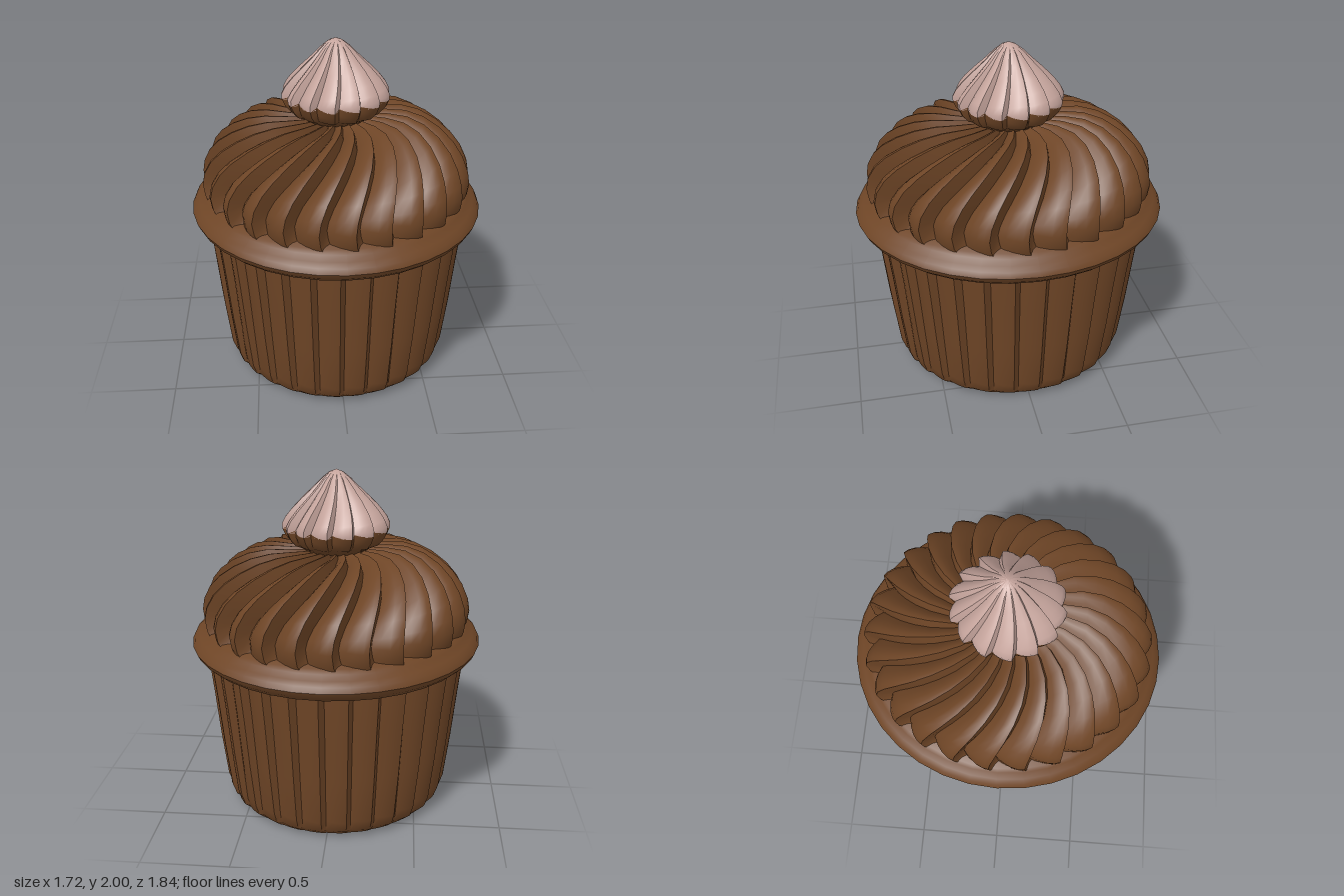
import * as THREE from 'three';
import { toCreasedNormals } from 'three/addons/utils/BufferGeometryUtils.js';

// One pleat across its width: [fraction, height]; a slow rise, then a steep drop
const PLEAT = [[0, 0], [0.22, 0.42], [0.45, 0.76], [0.66, 0.95], [0.82, 1]];
const ROUND = [[0, 1]];

// Rings of a profile, bottom to top. Each profile point is [radius, y, pleat depth, twist].
function pleatedLathe(profile, teeth, shape, crease) {
  const pos = [], index = [], cols = teeth * shape.length;
  profile.forEach(([r, y, depth = 0, twist = 0], i) => {
    const a = profile[Math.max(i - 1, 0)], b = profile[Math.min(i + 1, profile.length - 1)];
    const n = new THREE.Vector2(b[1] - a[1], a[0] - b[0]).normalize();
    for (let t = 0; t < teeth; t++) {
      for (const [f, h] of shape) {
        const angle = ((t + f) / teeth) * Math.PI * 2 + twist;
        const sink = depth * (1 - h);
        const radius = Math.max(r - n.x * sink, 0);
        pos.push(Math.sin(angle) * radius, y - n.y * sink, Math.cos(angle) * radius);
      }
    }
  });
  for (let i = 0; i < profile.length - 1; i++) {
    for (let j = 0; j < cols; j++) {
      const a = i * cols + j, b = i * cols + (j + 1) % cols, c = a + cols, d = b + cols;
      if (profile[i][0] > 0) index.push(a, b, d);
      if (profile[i + 1][0] > 0) index.push(a, d, c);
    }
  }
  const geo = new THREE.BufferGeometry();
  geo.setAttribute('position', new THREE.Float32BufferAttribute(pos, 3));
  geo.setIndex(index);
  return toCreasedNormals(geo, crease);
}

export function createModel() {
  const chocolate = new THREE.MeshStandardMaterial({ color: 0x6e4526 });
  chocolate.name = 'chocolate';
  const pink = new THREE.MeshStandardMaterial({ color: 0xc4a39b });
  pink.name = 'pinkCream';

  const model = new THREE.Group();
  model.name = 'cupcake';
  const add = (name, geo, material, squash) => {
    const mesh = new THREE.Mesh(geo, material);
    mesh.name = name;
    mesh.scale.x = squash; // the cake is slightly oval
    model.add(mesh);
  };

  // Pleated paper cup with a rounded foot
  add('cup', pleatedLathe([
    [0, 0], [0.6, 0], [0.66, 0.015, 0.003], [0.7, 0.05, 0.012], [0.725, 0.12, 0.025],
    [0.76, 0.4, 0.034], [0.79, 0.7, 0.038], [0.818, 0.95, 0.04], [0.82, 0.99, 0.04],
  ], 30, PLEAT, 0.6), chocolate, 0.95);

  // Rounded rim above the cup
  add('rim', pleatedLathe([
    [0.75, 0.925], [0.82, 0.93], [0.87, 0.95], [0.905, 0.98], [0.92, 1.01], [0.905, 1.04],
    [0.875, 1.06], [0.84, 1.085], [0.82, 1.105], [0.7, 1.125],
  ], 36, ROUND, 0.8), chocolate, 0.935);

  // Domed frosting, pleats swirling down from the centre
  const dome = [
    [0.82, 1.08, 0.05], [0.838, 1.12, 0.075], [0.848, 1.19, 0.085], [0.835, 1.26, 0.09],
    [0.795, 1.34, 0.09], [0.735, 1.41, 0.09], [0.65, 1.475, 0.085], [0.55, 1.525, 0.075],
    [0.44, 1.552, 0.06], [0.32, 1.555, 0.045], [0.2, 1.55, 0.025], [0, 1.545, 0],
  ];
  dome.forEach((p) => p.push(-0.62 * Math.pow(p[0] / 0.848, 1.3)));
  add('frosting', pleatedLathe(dome, 26, PLEAT, 0.7), chocolate, 0.935);

  // Chocolate base of the topping, its pleats fading towards the foot
  add('toppingBase', pleatedLathe([
    [0, 1.53], [0.19, 1.54], [0.22, 1.562, 0.004], [0.265, 1.58, 0.012],
    [0.3, 1.62, 0.028], [0.318, 1.66, 0.04],
  ], 14, PLEAT, 0.7), chocolate, 0.985);

  // Piped cream peak
  add('creamPeak', pleatedLathe([
    [0.318, 1.66, 0.04], [0.32, 1.69, 0.042], [0.3, 1.73, 0.042, 0.02], [0.26, 1.78, 0.036, 0.05],
    [0.2, 1.84, 0.026, 0.09], [0.135, 1.9, 0.014, 0.13], [0.085, 1.95, 0.006, 0.16],
    [0.04, 1.985, 0.002, 0.18], [0, 2],
  ], 14, PLEAT, 0.7), pink, 0.985);

  return model;
}
